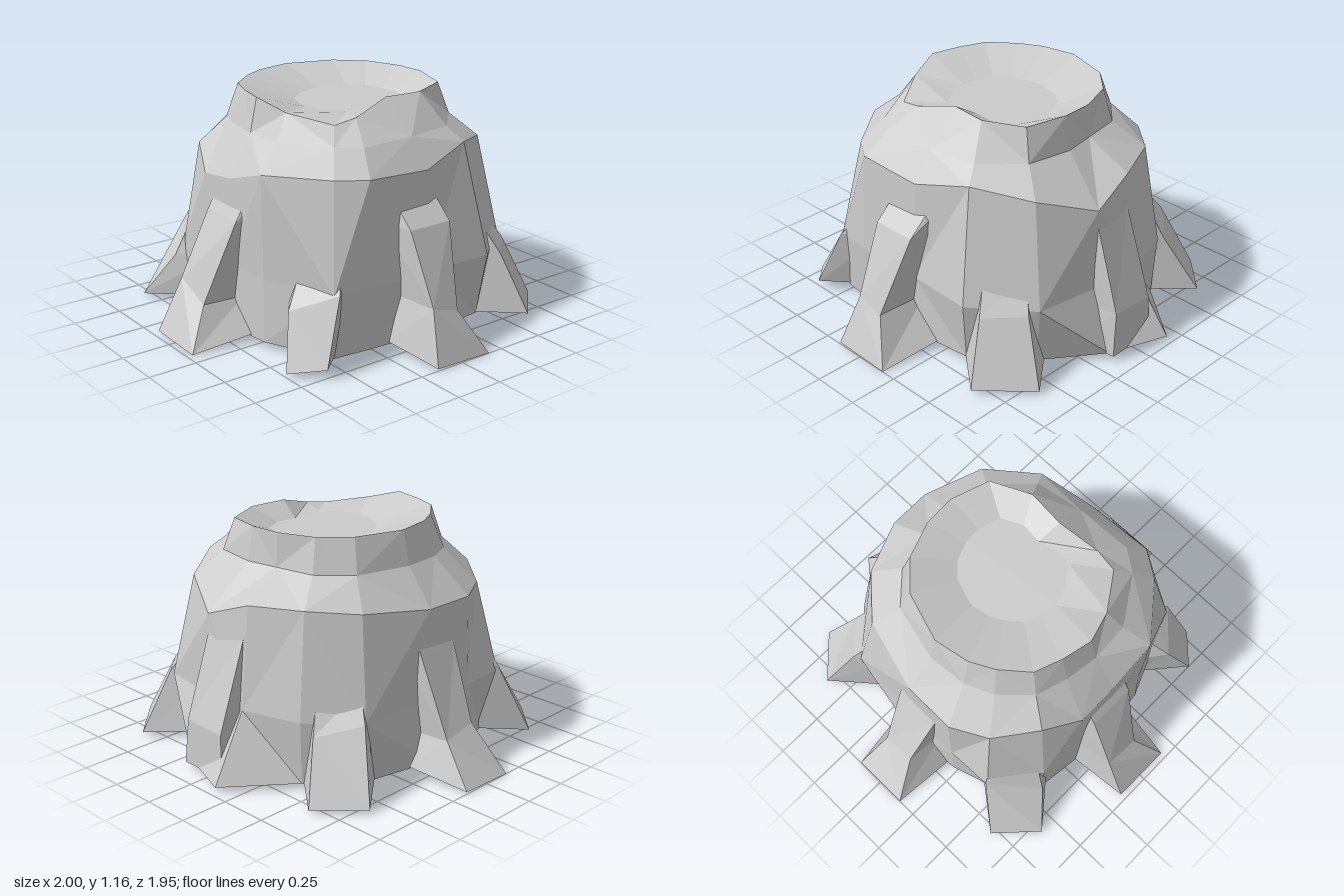
import * as THREE from 'three';

const material = new THREE.MeshStandardMaterial({ color: 0xcccccc, flatShading: true });

// Angle in degrees, 0 = front (+z), turning towards +x; s is a sideways offset.
function polar(deg, r, y, s = 0) {
  const a = THREE.MathUtils.degToRad(deg);
  return [Math.sin(a) * r + Math.cos(a) * s, y, Math.cos(a) * r - Math.sin(a) * s];
}

// Skin a stack of closed rings, ordered top to bottom, and cap both ends.
function loft(name, rings) {
  const pos = [];
  const tri = (a, b, c) => pos.push(...a, ...b, ...c);
  const middle = (ring) => [0, 1, 2].map((k) => ring.reduce((sum, p) => sum + p[k], 0) / ring.length);
  const n = rings[0].length;
  const last = rings[rings.length - 1];
  const topMid = middle(rings[0]);
  const endMid = middle(last);
  for (let i = 0; i < n; i++) {
    const j = (i + 1) % n;
    for (let k = 0; k + 1 < rings.length; k++) {
      const [up, low] = [rings[k], rings[k + 1]];
      if ((i + k) % 2) {
        tri(low[i], low[j], up[j]);
        tri(low[i], up[j], up[i]);
      } else {
        tri(low[i], low[j], up[i]);
        tri(low[j], up[j], up[i]);
      }
    }
    tri(topMid, rings[0][i], rings[0][j]);
    tri(endMid, last[j], last[i]);
  }
  const geometry = new THREE.BufferGeometry();
  geometry.setAttribute('position', new THREE.Float32BufferAttribute(pos, 3));
  geometry.computeVertexNormals();
  const mesh = new THREE.Mesh(geometry, material);
  mesh.name = name;
  return mesh;
}

// Trunk columns: angle, rim radius, rim y, collar radius, shoulder radius, shoulder y, knee radius, base radius
const columns = [
  [4, 0.49, 1.16, 0.53, 0.66, 0.79, 0.67, 0.68],
  [25, 0.48, 1.11, 0.57, 0.72, 0.87, 0.71, 0.72],
  [53, 0.5, 1.07, 0.6, 0.72, 0.87, 0.84, 0.82],
  [66, 0.45, 1.09, 0.61, 0.73, 0.87, 0.76, 0.74],
  [95, 0.37, 1.15, 0.55, 0.66, 0.85, 0.69, 0.7],
  [121, 0.45, 1.15, 0.59, 0.68, 0.92, 0.82, 0.77],
  [146, 0.52, 1.15, 0.58, 0.73, 0.87, 0.85, 0.79],
  [170, 0.5, 1.16, 0.53, 0.76, 0.77, 0.77, 0.88],
  [189, 0.49, 1.16, 0.5, 0.72, 0.86, 0.78, 0.99],
  [212, 0.49, 1.16, 0.54, 0.71, 0.87, 0.8, 0.78],
  [234, 0.48, 1.16, 0.54, 0.69, 0.85, 0.8, 0.76],
  [266, 0.47, 1.16, 0.51, 0.66, 0.81, 0.67, 0.7],
  [289, 0.46, 1.16, 0.52, 0.7, 0.81, 0.71, 0.71],
  [306, 0.46, 1.16, 0.53, 0.7, 0.82, 0.82, 0.75],
  [327, 0.48, 1.16, 0.54, 0.68, 0.86, 0.77, 0.76],
  [345, 0.47, 1.16, 0.52, 0.68, 0.76, 0.68, 0.69],
];

function trunk() {
  const ring = (fn) => columns.map((c) => fn(...c));
  return loft('trunk', [
    // shallow hollow, set a little off centre
    ring((a, r) => {
      const [x, y, z] = polar(a, r * 0.55, 1.08);
      return [x + 0.05, y, z - 0.04];
    }),
    ring((a, r, y) => polar(a, r, y)),
    ring((a, r, y, collar) => polar(a, collar, 0.99)),
    ring((a, r, y, collar, sr, sy) => polar(a, sr, sy)),
    ring((a, r, y, collar, sr, sy, knee) => polar(a, knee, 0.35)),
    ring((a, r, y, collar, sr, sy, knee, base) => polar(a, base, 0.03)),
  ]);
}

// Each root: name, angle, then brow, knee and toe as [radius, side, its y, other side, its y].
const roots = [
  ['frontRoot', 0, [0.69, -0.11, 0.6, 0.14, 0.6], [0.84, -0.13, 0.27, 0.07, 0.19], [0.97, -0.15, 0.01, 0.17, 0]],
  ['frontLeftRoot', 46, [0.72, -0.08, 0.4, 0.12, 0.48], [0.84, -0.11, 0.27, 0.13, 0.36], [0.98, -0.1, 0.02, 0.09, 0.05]],
  ['leftRoot', 90, [0.75, -0.12, 0.61, 0.12, 0.61], [0.9, -0.1, 0.26, 0.05, 0.22], [1, -0.15, 0.01, 0.17, 0]],
  ['backLeftRoot', 135, [0.74, -0.1, 0.5, 0.1, 0.5], [0.86, -0.12, 0.33, 0.11, 0.34], [1.01, -0.16, 0.03, 0.16, 0.02]],
  ['backRoot', 180, [0.73, -0.13, 0.74, 0.1, 0.7], [0.89, -0.14, 0.26, 0.1, 0.25], [0.9, -0.16, 0.03, 0.11, 0.03]],
  ['backRightRoot', 225, [0.72, -0.1, 0.5, 0.1, 0.5], [0.83, -0.12, 0.3, 0.12, 0.36], [1.01, -0.14, 0.02, 0.14, 0.02]],
  ['rightRoot', 270, [0.67, -0.12, 0.6, 0.12, 0.6], [0.83, -0.1, 0.2, 0.08, 0.24], [1, -0.15, 0.01, 0.15, 0]],
  ['frontRightRoot', 316, [0.7, -0.12, 0.55, 0.1, 0.5], [0.81, -0.15, 0.38, 0.14, 0.25], [0.99, -0.135, 0.01, 0.135, 0.02]],
];

function root([name, angle, brow, knee, toe]) {
  // two outer corners, then two inner corners spread out inside the trunk
  const section = ([r, s0, y0, s1, y1], inner) => [
    polar(angle, r, y0, s0),
    polar(angle, r, y1, s1),
    polar(angle, inner, y1, s1 * 1.25),
    polar(angle, inner, y0, s0 * 1.25),
  ];
  const [, s0, y0, s1, y1] = brow;
  const crown = [0.62, s0, y0 + 0.12, s1, y1 + 0.12];
  const rings = [section(crown, 0.57), section(brow, 0.58), section(knee, 0.62), section(toe, 0.66)];
  // keep the underside of the root just inside the trunk
  rings[3][2][1] = rings[3][3][1] = 0.04;
  return loft(name, rings);
}

export function createModel() {
  const model = new THREE.Group();
  model.name = 'treeStump';
  model.add(trunk(), ...roots.map(root));
  return model;
}
